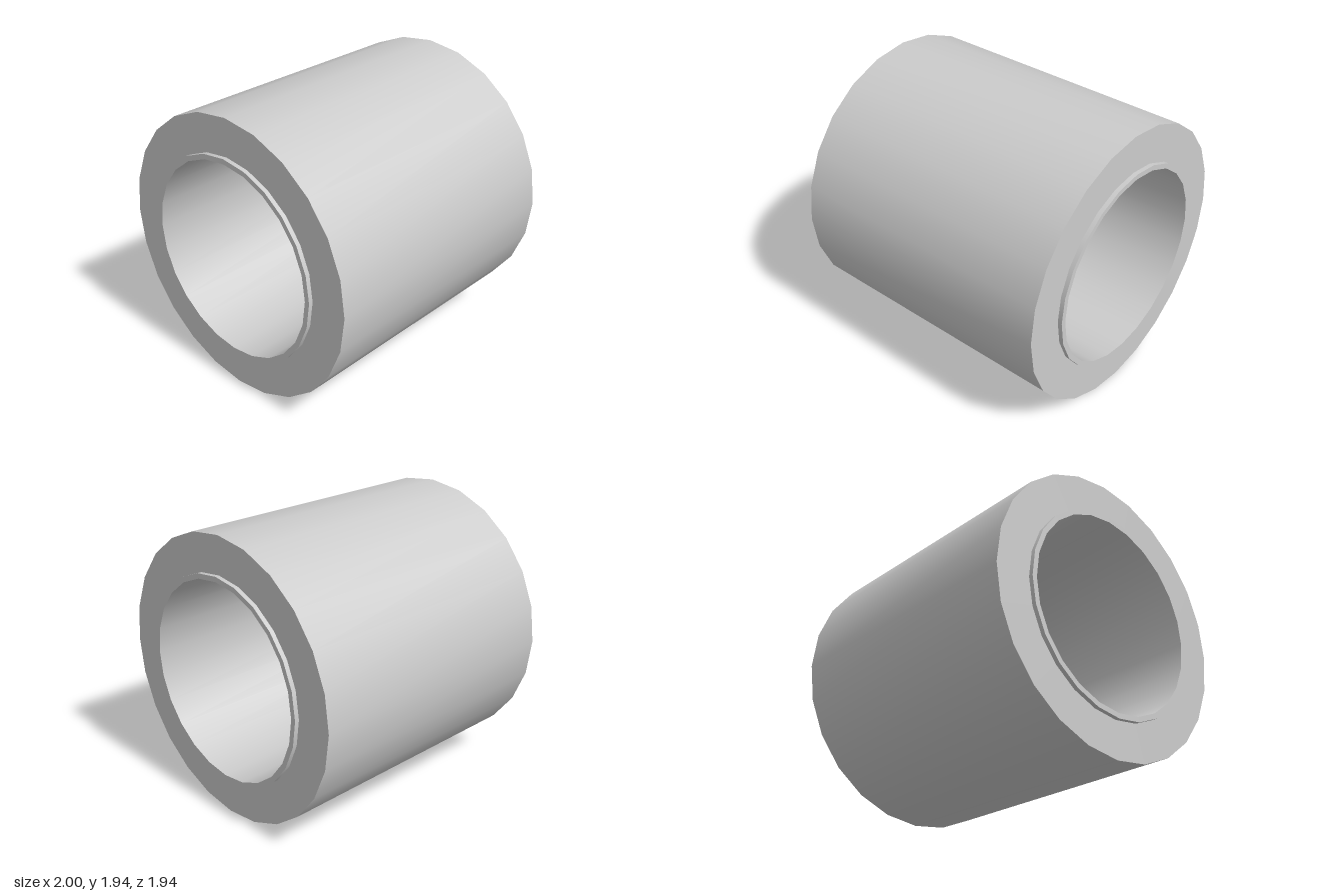
import * as THREE from 'three';
import { toCreasedNormals } from 'three/addons/utils/BufferGeometryUtils.js';

const SIDES = 24;
const AXIS_HEIGHT = 0.97;

// Hollow tube lying along x, with smooth walls and sharp rims
function tube(name, outer, inner, halfLength, material) {
  const profile = [
    [outer, -halfLength], [outer, halfLength],
    [inner, halfLength], [inner, -halfLength], [outer, -halfLength],
  ].map(([r, y]) => new THREE.Vector2(r, y));
  const geometry = toCreasedNormals(new THREE.LatheGeometry(profile, SIDES), Math.PI / 6);
  geometry.rotateZ(-Math.PI / 2);
  const mesh = new THREE.Mesh(geometry, material);
  mesh.name = name;
  mesh.position.y = AXIS_HEIGHT;
  return mesh;
}

export function createModel() {
  const group = new THREE.Group();
  group.name = 'linedBushing';
  const grey = new THREE.MeshStandardMaterial({ color: 0xcccccc });

  // Thick outer body
  group.add(tube('outerBody', 0.97, 0.713, 0.97, grey));
  // Thin liner standing slightly proud of both ends
  group.add(tube('innerSleeve', 0.713, 0.678, 1, grey));

  return group;
}
